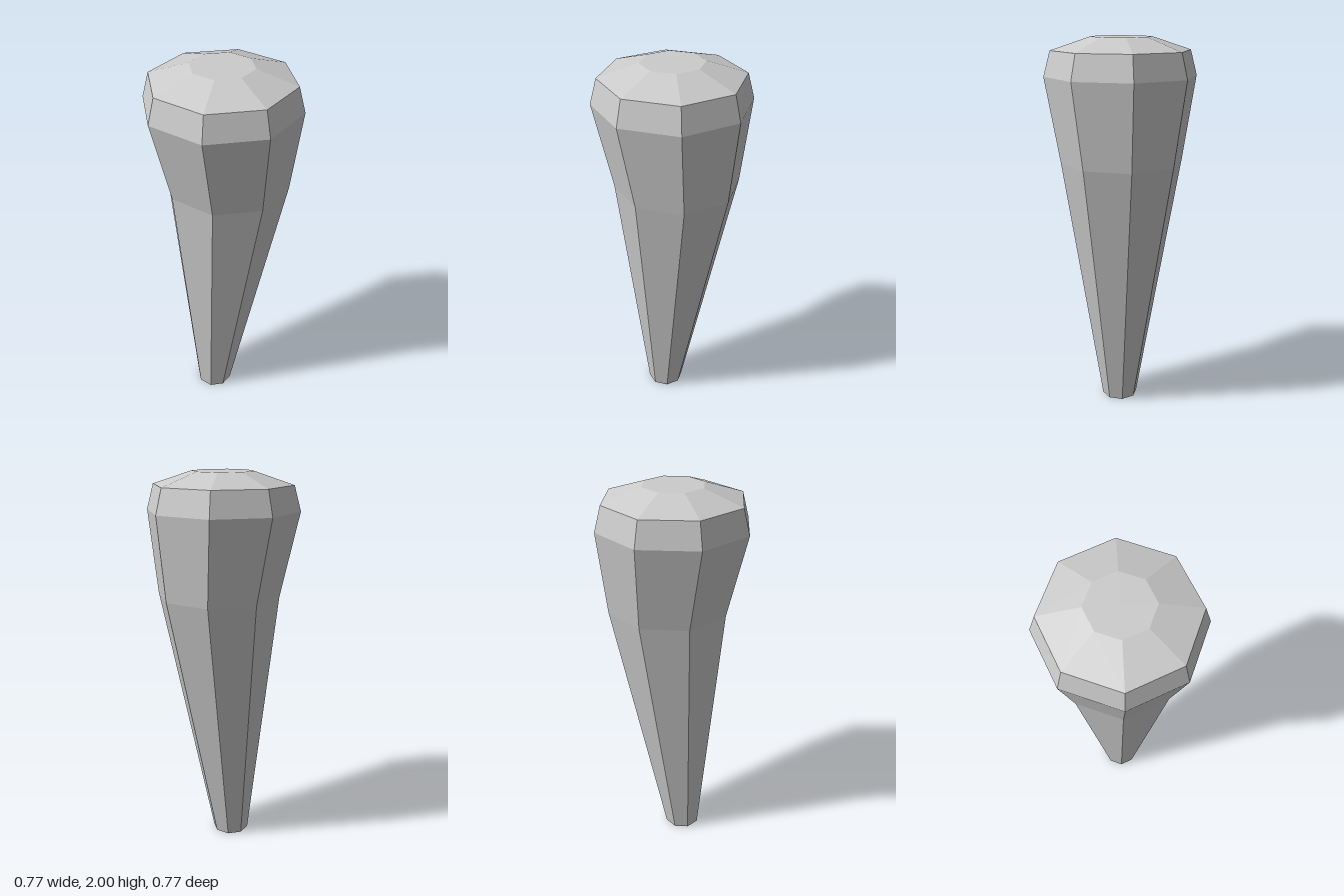
import * as THREE from 'three';

// Rings of the body: height, radius, sideways offset of the centre
const RINGS = [
  [0, 0, -0.057],
  [0, 0.097, -0.057],
  [1.385, 0.314, 0.028],
  [1.81, 0.387, 0],
  [1.935, 0.353, 0],
  [2, 0.155, 0],
  [2, 0, 0],
];

export function createModel() {
  const group = new THREE.Group();
  group.name = 'taperedPeg';

  // Eight-sided tapered body with a bevelled head, closed at both ends
  const profile = RINGS.map(([y, r]) => new THREE.Vector2(r, y));
  const geometry = new THREE.LatheGeometry(profile, 8);

  // Slide each ring sideways so that the shaft leans and bends
  const position = geometry.attributes.position;
  for (let i = 0; i < position.count; i++) {
    position.setX(i, position.getX(i) + RINGS[i % RINGS.length][2]);
  }
  geometry.computeVertexNormals();

  const material = new THREE.MeshStandardMaterial({ color: 0xcccccc, flatShading: true });
  const body = new THREE.Mesh(geometry, material);
  body.name = 'body';
  group.add(body);
  return group;
}
